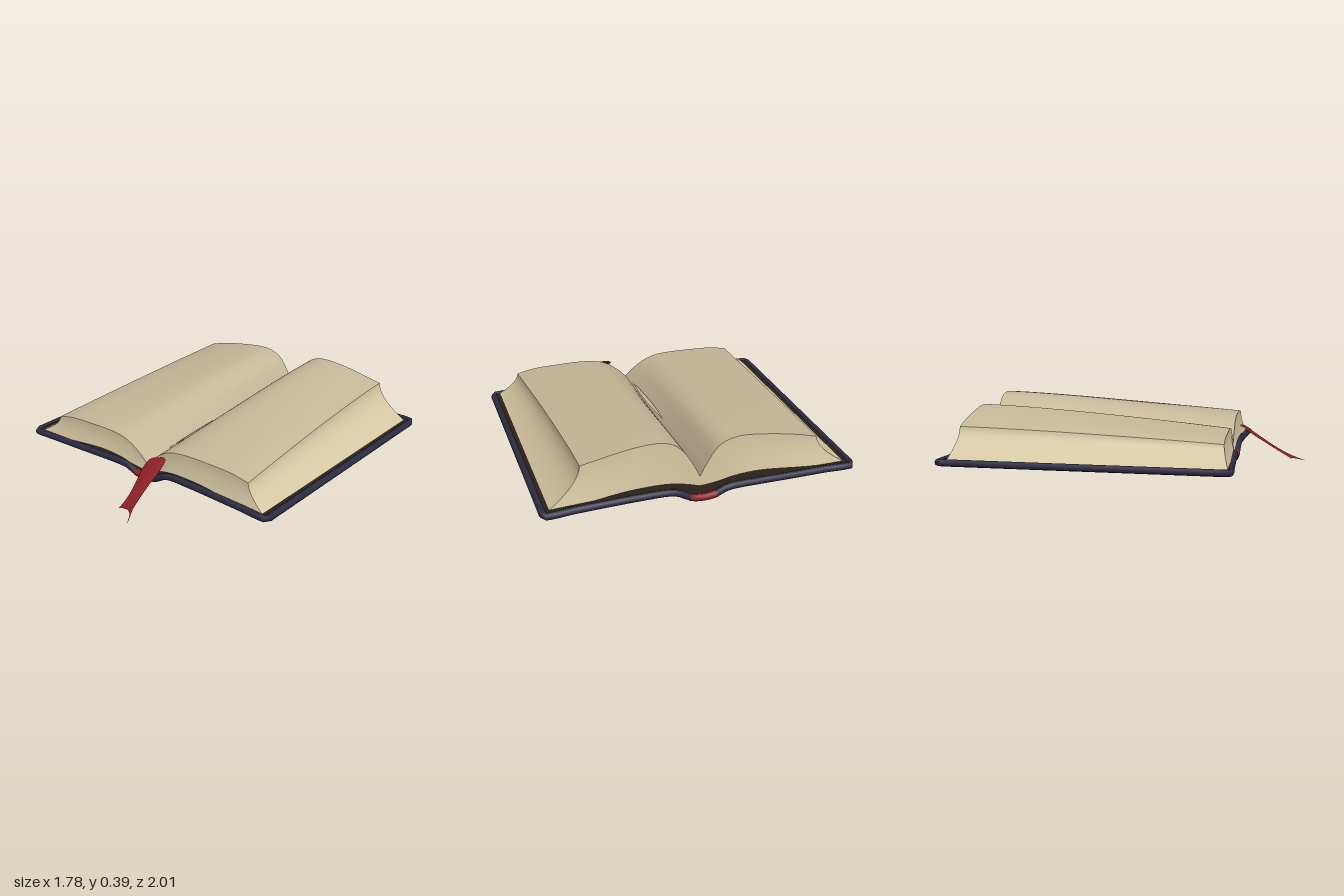
import * as THREE from 'three';

const mat = (name, color, side = THREE.FrontSide) => {
  const m = new THREE.MeshStandardMaterial({ color, side });
  m.name = name;
  return m;
};
const lerp = THREE.MathUtils.lerp;
const spline = (pts) => new THREE.SplineCurve(pts.map(([x, y]) => new THREE.Vector2(x, y)));

// Smooth grid surface from f(u, v) -> [x, y, z]
function sheet(f, nu, nv, flip) {
  const pos = [], idx = [];
  for (let j = 0; j <= nv; j++) for (let i = 0; i <= nu; i++) pos.push(...f(i / nu, j / nv));
  for (let j = 0; j < nv; j++) {
    for (let i = 0; i < nu; i++) {
      const a = j * (nu + 1) + i, b = a + 1, c = a + nu + 1, d = c + 1;
      if (flip) idx.push(a, c, b, b, c, d);
      else idx.push(a, b, c, b, d, c);
    }
  }
  const g = new THREE.BufferGeometry();
  g.setAttribute('position', new THREE.Float32BufferAttribute(pos, 3));
  g.setIndex(idx);
  g.computeVertexNormals();
  return g;
}

// Half of the page block; t runs back to front, u gutter to fore-edge, w top to bottom
function pagePoint(half, u, w, t) {
  const a = half.back.getPoint(u), b = half.front.getPoint(u), c = half.base.getPoint(u);
  const k = Math.pow(t, 1.35);
  const flare = Math.pow(w, 1.8);
  const x = lerp(lerp(a.x, b.x, k), c.x, flare);
  const y = lerp(lerp(a.y, b.y, k), c.y + 0.012 * (1 - t), w);
  const zBack = -0.92 - 0.03 * flare * u;
  const zFront = 0.565 + flare * (0.01 + 0.025 * u);
  return [x, y, lerp(zBack, zFront, t)];
}

const halves = [
  {
    name: 'right', s: -1,
    back: spline([[0, 0.16], [-0.03, 0.22], [-0.1, 0.325], [-0.19, 0.367], [-0.29, 0.37], [-0.45, 0.35], [-0.58, 0.325], [-0.675, 0.3]]),
    front: spline([[0, 0.13], [-0.05, 0.175], [-0.12, 0.225], [-0.2, 0.255], [-0.3, 0.265], [-0.45, 0.265], [-0.6, 0.26], [-0.7, 0.24]]),
    base: spline([[0, 0.09], [-0.1, 0.105], [-0.2, 0.13], [-0.35, 0.142], [-0.6, 0.125], [-0.845, 0.118]]),
  },
  {
    name: 'left', s: 1,
    back: spline([[0, 0.16], [0.04, 0.24], [0.1, 0.33], [0.17, 0.38], [0.26, 0.395], [0.4, 0.382], [0.55, 0.352], [0.66, 0.328]]),
    front: spline([[0, 0.13], [0.05, 0.18], [0.12, 0.23], [0.2, 0.258], [0.32, 0.268], [0.46, 0.265], [0.6, 0.258], [0.715, 0.235]]),
    base: spline([[0, 0.09], [0.1, 0.12], [0.22, 0.138], [0.4, 0.135], [0.6, 0.112], [0.85, 0.088]]),
  },
];

// Cover centre line across the book, with the spine dipping in the middle
const coverLine = spline([[-0.87, 0.115], [-0.5, 0.106], [-0.2, 0.1], [-0.12, 0.088], [-0.07, 0.064], [0, 0.055],
  [0.07, 0.064], [0.12, 0.09], [0.2, 0.112], [0.5, 0.105], [0.87, 0.086]]);
function coverPoint(u, t, dy = 0) {
  const p = coverLine.getPoint(u);
  const zFront = 0.58 + 0.023 * Math.min(1, Math.abs(p.x) / 0.7);
  return [p.x, p.y + dy + 0.012 * (1 - t), lerp(-0.98, zFront, t)];
}
function coverTube(uts, radius) {
  const pts = uts.map(([u, t]) => new THREE.Vector3(...coverPoint(u, t)));
  return new THREE.TubeGeometry(new THREE.CatmullRomCurve3(pts), uts.length * 4, radius, 8);
}

export function createModel() {
  const book = new THREE.Group();
  book.name = 'openBook';
  const paper = mat('paper', 0xc6b799);
  const paperEdge = mat('paperEdge', 0xd6c8a3);
  const leather = mat('darkLeather', 0x2b2118);
  const navy = mat('navyTrim', 0x2e2c44);
  const red = mat('redCloth', 0x8c1f25, THREE.DoubleSide);
  const looseLeaf = mat('looseLeaf', 0xcabc9e, THREE.DoubleSide);
  const add = (name, geometry, material, parent = book) => {
    const mesh = new THREE.Mesh(geometry, material);
    mesh.name = name;
    parent.add(mesh);
  };

  // Page blocks
  for (const h of halves) {
    const block = new THREE.Group();
    block.name = h.name + 'Pages';
    book.add(block);
    const out = h.s > 0;
    add('openPage', sheet((u, t) => pagePoint(h, u, 0, t), 32, 20, out), paper, block);
    add('foreEdge', sheet((w, t) => pagePoint(h, 1, w, t), 10, 20, out), paperEdge, block);
    add('frontEdge', sheet((u, w) => pagePoint(h, u, w, 1), 32, 10, out), paperEdge, block);
    add('backEdge', sheet((u, w) => pagePoint(h, u, w, 0), 32, 10, !out), paperEdge, block);
    add('underside', sheet((u, t) => pagePoint(h, u, 1, t), 24, 8, !out), paperEdge, block);
  }

  // Narrow loose leaf in the gutter
  add('gutterLeaf', sheet((u, v) => [
    0.005 + (u - 0.5) * 0.036 * Math.sin(Math.PI * (0.08 + 0.84 * v)),
    0.195 - 0.035 * v + 0.012 * u,
    lerp(-0.28, 0.37, v),
  ], 3, 12, true), looseLeaf);

  // Cover boards and spine as one bent panel
  add('coverOutside', sheet((u, t) => coverPoint(u, t, -0.015), 60, 8, false), leather);
  add('coverInside', sheet((u, t) => coverPoint(u, t, 0.012), 60, 8, true), leather);

  // Navy trim around each board
  for (const [name, inner, outer] of [['rightTrim', 0.41, 0], ['leftTrim', 0.59, 1]]) {
    const path = [];
    for (let i = 0; i <= 8; i++) path.push([lerp(inner, outer, i / 8), 0]);
    for (const t of [0.02, 0.25, 0.5, 0.75, 0.98]) path.push([outer, t]);
    for (let i = 8; i >= 0; i--) path.push([lerp(inner, outer, i / 8), 1]);
    add(name, coverTube(path, 0.02), navy);
  }

  // Red bands at both ends of the spine
  for (const [name, t] of [['spineBandBack', 0], ['spineBandFront', 1]]) {
    add(name, coverTube([0.39, 0.43, 0.47, 0.5, 0.53, 0.57, 0.61].map((u) => [u, t]), 0.021), red);
  }

  // Ribbon bookmark: rows of [x left, x right, y, z], ending in a slanted tail
  const rows = [[0.125, 0.168, 0.222, 0.6], [0.085, 0.185, 0.216, 0.63], [0.072, 0.186, 0.18, 0.68], [0.085, 0.18, 0.137, 0.745],
    [0.1, 0.18, 0.088, 0.82], [0.104, 0.19, 0.052, 0.88], [0.1, 0.225, 0.03, 0.92]];
  const line = (k) => spline(rows.map((r) => [r[k], r[3]]));
  const [leftLine, rightLine, heightLine] = [line(0), line(1), line(2)];
  add('ribbon', sheet((u, v) => {
    const l = leftLine.getPoint(v), r = rightLine.getPoint(v), y = heightLine.getPoint(v);
    const tail = Math.pow(v, 6) * Math.pow(u, 3);
    const notch = 0.02 * Math.pow(v, 10) * Math.sin(Math.PI * u);
    return [lerp(l.x, r.x, u), y.x + 0.008 * Math.sin(Math.PI * u) * (1 - v) - 0.029 * tail, l.y + 0.08 * tail - notch];
  }, 10, 24, true), red);

  return book;
}
